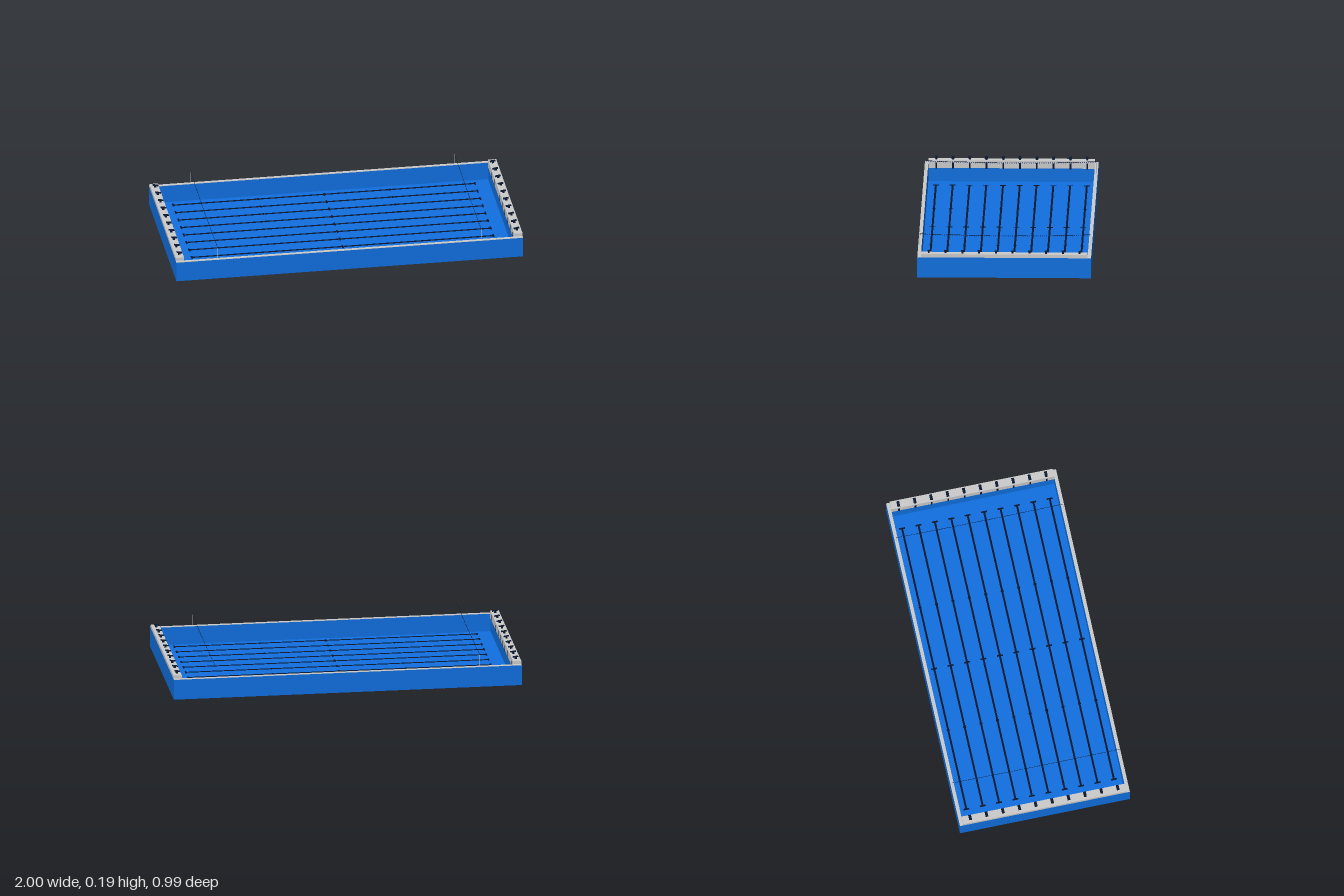
import * as THREE from 'three';

export function createModel() {
  const root = new THREE.Group();
  root.name = 'swimmingPool';
  const mat = (color) => new THREE.MeshStandardMaterial({ color, flatShading: true });
  const blue = mat(0x1070e0), grey = mat(0xcccccc), dark = mat(0x0a1630);
  const flagMat = mat(0x12307a);
  flagMat.side = THREE.DoubleSide;

  const box = (name, w, h, d, x, y, z, material, parent = root) => {
    const m = new THREE.Mesh(new THREE.BoxGeometry(w, h, d), material);
    m.name = name;
    m.position.set(x, y, z);
    parent.add(m);
    return m;
  };

  const H = 0.12, floorY = 0.014, halfZ = 0.495, wall = 0.02, endW = 0.047;
  const innerZ = halfZ - wall;
  const lanes = Array.from({ length: 10 }, (_, i) => -0.43 + i * 0.86 / 9);

  // Basin: floor, side walls and end walls
  box('floor', 2, floorY, 2 * halfZ, 0, floorY / 2, 0, blue);
  const wallH = H - floorY - 0.002, wallY = floorY + wallH / 2;
  for (const s of [-1, 1]) {
    box('sideWall', 2, wallH, wall, 0, wallY, s * (halfZ - wall / 2), blue);
    box('endWall', endW, wallH, 2 * innerZ, s * (1 - endW / 2), wallY, 0, blue);
    box('sideCoping', 2, 0.002, wall, 0, H - 0.001, s * (halfZ - wall / 2), grey);
  }

  // Lane markings on the floor
  for (const z of lanes) {
    const lane = new THREE.Group();
    lane.name = 'laneMarking';
    lane.position.set(0, floorY + 0.001, z);
    root.add(lane);
    box('laneLine', 1.74, 0.002, 0.011, 0, 0, 0, dark, lane);
    for (const x of [-0.87, 0, 0.87]) box('crossMark', 0.009, 0.0024, 0.034, x, 0, 0, dark, lane);
    for (const x of [-0.38, 0.38]) box('distanceMark', 0.01, 0.0024, 0.017, x, 0, 0, dark, lane);
  }

  // Starting block: two-part pedestal with a plate sloping towards the water (+x)
  const addBlock = (parent, z) => {
    const block = new THREE.Group();
    block.name = 'startingBlock';
    block.position.set(-0.972, 0.138, z);
    parent.add(block);
    box('blockLeg', 0.012, 0.011, 0.011, -0.002, 0.0055, 0, dark, block);
    box('blockPlate', 0.032, 0.004, 0.016, 0, 0.0125, 0, dark, block).rotation.z = -0.16;
  };

  // Raised end decks with blocks and wall targets; the second is turned round
  for (const turn of [0, Math.PI]) {
    const end = new THREE.Group();
    end.name = 'poolEnd';
    end.rotation.y = turn;
    root.add(end);
    box('endDeck', endW, 0.02, 2 * innerZ, -1 + endW / 2, 0.128, 0, grey, end);
    box('gutterPanel', 0.002, 0.045, 2 * innerZ, -1 + endW, 0.1155, 0, grey, end);
    for (const z of lanes) {
      addBlock(end, z);
      box('wallTarget', 0.002, 0.035, 0.01, -1 + endW + 0.001, 0.107, z, dark, end);
    }
  }

  // Sagging flag lines between thin posts
  const flagShape = new THREE.Shape([
    new THREE.Vector2(-0.0035, 0), new THREE.Vector2(0, -0.008), new THREE.Vector2(0.0035, 0)]);
  const flagGeo = new THREE.ShapeGeometry(flagShape).rotateY(Math.PI / 2);
  const span = 0.488;
  const sag = (z) => 0.182 + 0.008 * (z / span) ** 2;
  const ropePoints = Array.from({ length: 17 }, (_, i) => {
    const z = -span + (2 * span * i) / 16;
    return new THREE.Vector3(0, sag(z), z);
  });
  const ropeGeo = new THREE.TubeGeometry(new THREE.CatmullRomCurve3(ropePoints), 32, 0.001, 5);
  for (const x of [-0.76, 0.76]) {
    const line = new THREE.Group();
    line.name = 'flagLine';
    line.position.x = x;
    root.add(line);
    const rope = new THREE.Mesh(ropeGeo, dark);
    rope.name = 'flagRope';
    line.add(rope);
    for (const s of [-1, 1]) {
      const post = new THREE.Mesh(new THREE.CylinderGeometry(0.0012, 0.0012, 0.07, 6), grey);
      post.name = 'flagPost';
      post.position.set(0, H + 0.035, s * span);
      line.add(post);
    }
    for (let i = 0; i < 80; i++) {
      const z = -0.48 + (0.96 * i) / 79;
      const flag = new THREE.Mesh(flagGeo, flagMat);
      flag.name = 'flag';
      flag.position.set(0, sag(z), z);
      line.add(flag);
    }
  }
  return root;
}
